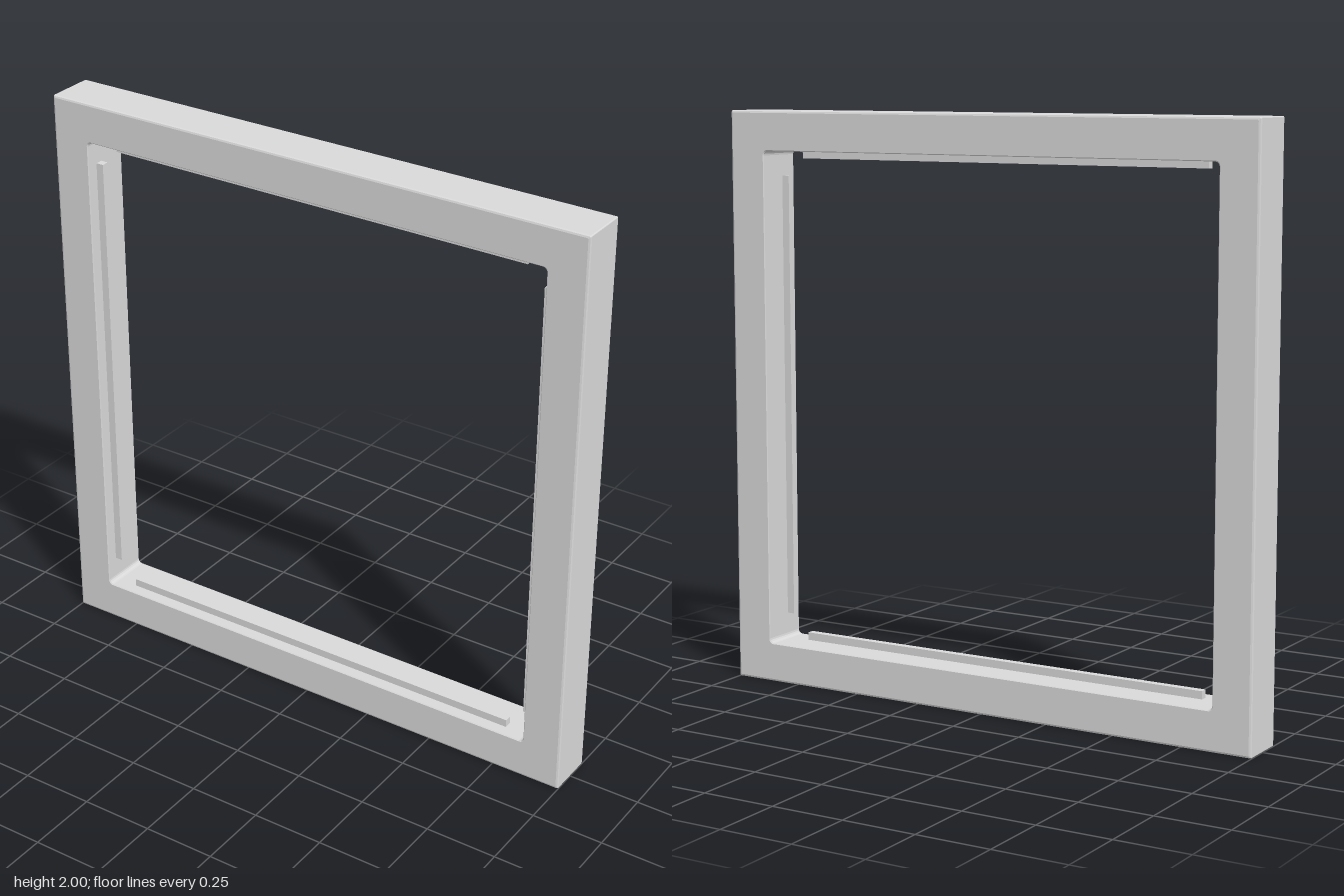
import * as THREE from 'three';

const CORNER_STEPS = 4;

// Points of a rounded square of half-size h and corner radius r, at depth z
function roundedSquare(h, r, z) {
  const points = [];
  for (let corner = 0; corner < 4; corner++) {
    const middle = Math.PI / 4 + corner * Math.PI / 2;
    const cx = Math.sign(Math.cos(middle)) * (h - r);
    const cy = Math.sign(Math.sin(middle)) * (h - r);
    for (let s = 0; s <= CORNER_STEPS; s++) {
      const a = (corner + s / CORNER_STEPS) * Math.PI / 2;
      points.push(cx + r * Math.cos(a), cy + r * Math.sin(a), z);
    }
  }
  return points;
}

// Joins the rings one after another, and the last back to the first
function closedLoft(rings) {
  const count = rings[0].length / 3;
  const index = [];
  for (let i = 0; i < rings.length; i++) {
    const row = i * count, next = ((i + 1) % rings.length) * count;
    for (let j = 0; j < count; j++) {
      const k = (j + 1) % count;
      index.push(row + j, row + k, next + k, row + j, next + k, next + j);
    }
  }
  const indexed = new THREE.BufferGeometry();
  indexed.setAttribute('position', new THREE.Float32BufferAttribute(rings.flat(), 3));
  indexed.setIndex(index);
  const geometry = indexed.toNonIndexed();
  geometry.computeVertexNormals();
  return geometry;
}

export function createModel() {
  const model = new THREE.Group();
  model.name = 'squareFrame';
  const grey = new THREE.MeshStandardMaterial({ color: 0xd9d9d9 });
  grey.name = 'light grey';

  // Frame: cross-section with softened edges, carried round the square
  const half = 0.088, inner = 0.863, soft = 0.008, fine = 0.003;
  const outerFront = [[1, half - soft], [1 - soft * 0.3, half - soft * 0.3], [1 - soft, half]];
  const innerFront = [[inner + fine, half], [inner, half - fine]];
  const mirrored = (list) => list.map(([h, z]) => [h, -z]).reverse();
  const profile = [
    ...mirrored(outerFront), ...outerFront, ...innerFront, ...mirrored(innerFront),
  ];
  const rings = profile.map(([h, z]) => roundedSquare(h, h > 0.9 ? 0.004 : 0.016, z));
  const frame = new THREE.Mesh(closedLoft(rings), grey);
  frame.name = 'frame';
  frame.position.y = 1;
  model.add(frame);

  // Retaining strips: one on each inner wall, set towards the front
  const stripGeometry = new THREE.BoxGeometry(1.55, 0.03, 0.026);
  stripGeometry.translate(0, -inner + 0.012, 0.033);
  ['bottomStrip', 'leftStrip', 'topStrip', 'rightStrip'].forEach((name, i) => {
    const strip = new THREE.Mesh(stripGeometry, grey);
    strip.name = name;
    strip.position.y = 1;
    strip.rotation.z = i * Math.PI / 2;
    model.add(strip);
  });

  return model;
}
